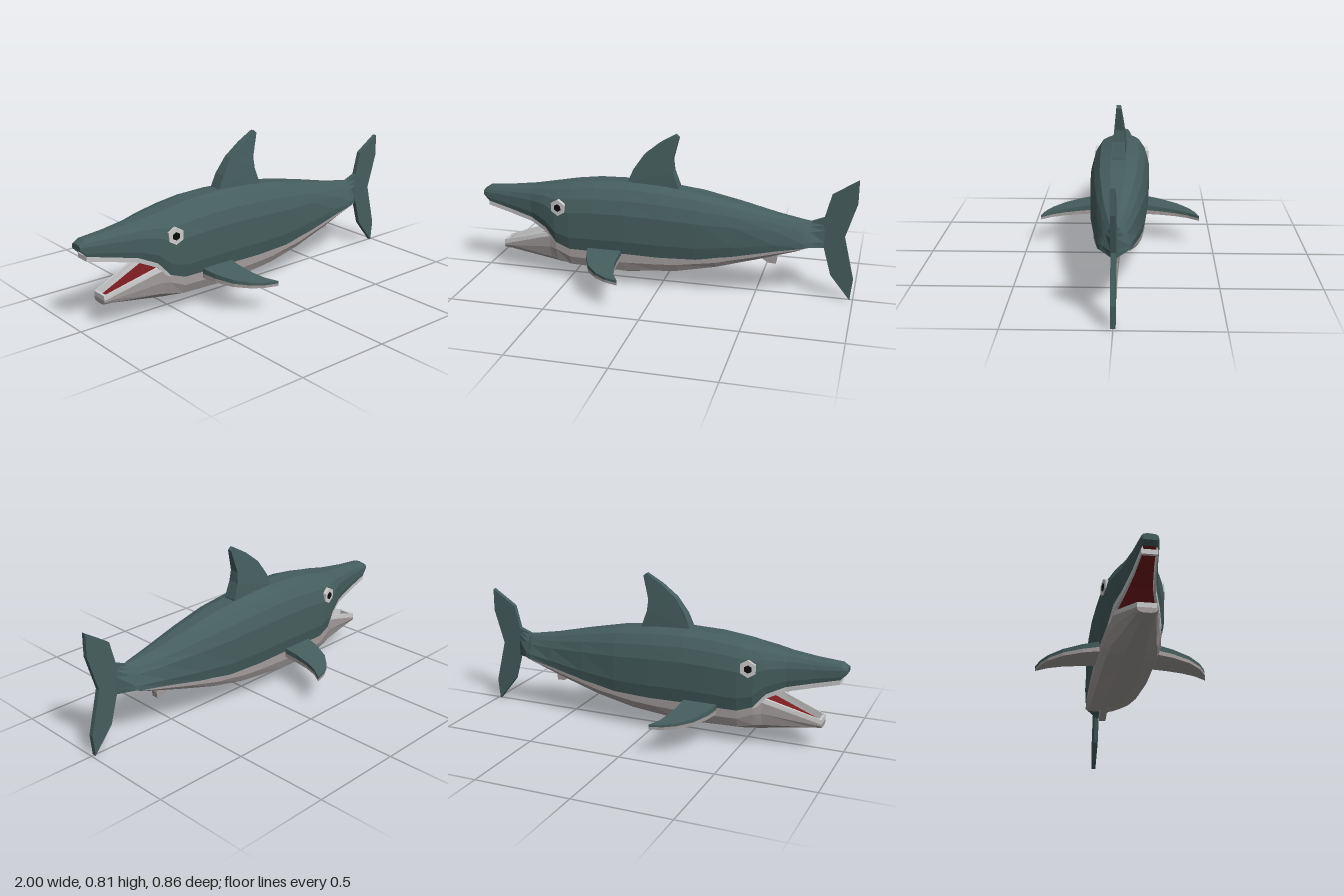
import * as THREE from 'three';

const mat = (color) => new THREE.MeshStandardMaterial({ color, flatShading: true, side: THREE.DoubleSide });
const lerp = THREE.MathUtils.lerp;

// Skin through sections (each a list of [x, y, z]); the first one can be capped
function loft(sections, cap = false) {
  const n = sections[0].length, index = [];
  for (let i = 0; i < sections.length - 1; i++) {
    for (let j = 0; j < n - 1; j++) {
      const a = i * n + j, b = a + 1, c = a + n, d = c + 1;
      index.push(a, c, b, b, c, d);
    }
  }
  if (cap) for (let j = 1; j < n - 1; j++) index.push(0, j, j + 1);
  const g = new THREE.BufferGeometry();
  g.setAttribute('position', new THREE.Float32BufferAttribute(sections.flat(2), 3));
  g.setIndex(index);
  const flat = g.toNonIndexed();
  flat.computeVertexNormals();
  return flat;
}

// Flat outline, one unit thick, reshaped by a rule (x, y, t) => [x, y, z]
function plate(outline, rule) {
  const shape = new THREE.Shape(outline.map(([x, y]) => new THREE.Vector2(x, y)));
  const g = new THREE.ExtrudeGeometry(shape, { depth: 1, bevelEnabled: false });
  const p = g.attributes.position;
  for (let i = 0; i < p.count; i++) p.setXYZ(i, ...rule(p.getX(i), p.getY(i), p.getZ(i)));
  g.computeVertexNormals();
  return g;
}

// Back and snout: x, top, lower edge, half width, pinch towards the top
const BACK = [
  [-1, 0.445, 0.415, 0.036, 0], [-0.97, 0.465, 0.385, 0.043, 0], [-0.84, 0.475, 0.355, 0.06, 0],
  [-0.71, 0.49, 0.325, 0.085, 0], [-0.62, 0.505, 0.285, 0.12, 0], [-0.56, 0.515, 0.215, 0.14, 0],
  [-0.48, 0.53, 0.188, 0.152, 0], [-0.35, 0.547, 0.188, 0.156, 0], [-0.18, 0.552, 0.19, 0.156, 0],
  [0, 0.543, 0.185, 0.15, 0], [0.2, 0.52, 0.19, 0.14, 0], [0.4, 0.48, 0.222, 0.123, 0.1],
  [0.6, 0.435, 0.262, 0.103, 0.3], [0.74, 0.412, 0.285, 0.088, 0.6], [0.77, 0.41, 0.29, 0.075, 0.75],
  [0.84, 0.43, 0.275, 0.012, 0],
];
// Belly and lower jaw: x, upper edge, bottom, half width
const BELLY = [
  [-0.89, 0.143, 0.118, 0.05], [-0.845, 0.158, 0.113, 0.06], [-0.6, 0.238, 0.08, 0.12],
  [-0.56, 0.235, 0.076, 0.138], [-0.48, 0.19, 0.068, 0.151], [-0.35, 0.19, 0.065, 0.156],
  [-0.18, 0.192, 0.058, 0.156], [0, 0.187, 0.08, 0.15], [0.1, 0.19, 0.09, 0.145],
  [0.3, 0.207, 0.135, 0.132], [0.5, 0.243, 0.195, 0.113], [0.7, 0.279, 0.258, 0.09], [0.77, 0.29, 0.286, 0.075],
];
const UPPER = [[0.9, 0], [1, 0.2], [1, 0.6], [0.87, 0.8], [0.66, 0.94], [0.27, 1]];
const LOWER = [[0.35, 1], [0.77, 0.78], [0.9, 0.38], [0.9, 0]];

export function createModel() {
  const model = new THREE.Group();
  const teal = mat(0x465e5e), grey = mat(0xa39d9c), pale = mat(0xd4d2d0), red = mat(0x7a1c22), black = mat(0x0a0a0a);
  const add = (name, geometry, material, parent = model) => {
    const mesh = new THREE.Mesh(geometry, material);
    mesh.name = name;
    parent.add(mesh);
    return mesh;
  };

  // Body shells
  add('back', loft(BACK.map(([x, top, low, w, pinch]) => {
    const half = UPPER.map(([k, t]) => [x, lerp(low, top, t), k * w * (1 - pinch * t)]);
    return [...half, ...half.map(([a, b, c]) => [a, b, -c]).reverse()];
  }), true), teal);
  add('belly', loft(BELLY.map(([x, top, low, w]) => {
    const half = LOWER.map(([k, t]) => [x, lerp(top, low, t), k * w]);
    return [...half.map(([a, b, c]) => [a, b, -c]).reverse(), ...half];
  }), true), grey);
  add('tailRootUnderside', loft([[0.77, 0.29, 0.0675], [0.84, 0.275, 0.011]].map(
    ([x, y, z]) => [[x, y, -z], [x, y - 0.005, 0], [x, y, z]])), teal);

  // Mouth: lining and tooth ridges on both jaws
  const jaws = [
    { name: 'upper', stations: BACK.slice(1, 6), dir: -1 },
    { name: 'lower', stations: BELLY.slice(0, 4).map(([x, top, , w]) => [x, 0, top, w]), dir: 1 },
  ];
  for (const { name, stations, dir } of jaws) {
    add(name + 'MouthLining', loft(stations.map(([x, , y, w]) =>
      [-1, 1].map((s) => [x, y - dir * 0.015, s * 0.72 * w]))), red);
    for (const s of [1, -1]) {
      add(name + 'Teeth', loft(stations.map(([x, , y, w]) => [
        [x, y, s * 0.9 * w], [x, y + dir * 0.024, s * 0.87 * w],
        [x, y + dir * 0.024, s * 0.74 * w], [x, y - dir * 0.015, s * 0.7 * w],
      ]), true), pale);
    }
    const [x, , y, w] = stations[0];
    add(name + 'FrontTeeth', new THREE.BoxGeometry(0.015, 0.024, 1.74 * w), pale)
      .position.set(x + 0.0075, y + dir * 0.012, 0);
  }

  // Dorsal fin, thinner towards the tip
  add('dorsalFin', plate(
    [[-0.19, 0.53], [-0.185, 0.55], [-0.155, 0.62], [-0.1, 0.7], [-0.02, 0.765], [0.065, 0.815], [0.083, 0.8],
      [0.05, 0.68], [0.055, 0.62], [0.083, 0.54], [0.083, 0.51]].reverse(),
    (x, y, t) => [x, y, (2 * t - 1) * lerp(0.035, 0.011, THREE.MathUtils.clamp((y - 0.58) / 0.22, 0, 1))]), teal);

  // Tail fin
  add('tailFin', plate(
    [[0.775, 0.3], [0.84, 0.273], [0.88, 0.13], [0.984, 0], [0.995, 0.11], [0.94, 0.337], [0.995, 0.52],
      [0.995, 0.64], [0.866, 0.556], [0.834, 0.433], [0.775, 0.41]],
    (x, y, t) => [x, y, (2 * t - 1) * 0.012]), teal);

  // Small fin under the tail
  add('analFin', plate(
    [[0.48, 0.23], [0.5, 0.205], [0.56, 0.168], [0.6, 0.165], [0.605, 0.2], [0.59, 0.25]],
    (x, y, t) => [x, y, (2 * t - 1) * 0.018]), grey);

  // Pectoral fins (dark above, light below) and eyes, mirrored across the body
  const finOutline = [[-0.375, 0.1], [-0.195, 0.1], [-0.195, 0.22], [-0.187, 0.3], [-0.167, 0.37], [-0.13, 0.43],
    [-0.2, 0.41], [-0.26, 0.375], [-0.32, 0.31], [-0.36, 0.22], [-0.375, 0.15]];
  const finLayer = (top, bottom) => plate(finOutline, (x, z, t) => {
    const s = (z - 0.15) / 0.28;
    return [x, lerp(lerp(top[0], top[1], s), lerp(bottom[0], bottom[1], s), t), z];
  });
  for (const s of [1, -1]) {
    const side = new THREE.Group();
    side.name = s > 0 ? 'frontSide' : 'rearSide';
    side.scale.z = s;
    model.add(side);
    add('pectoralFinTop', finLayer([0.206, 0.165], [0.178, 0.153]), teal, side);
    add('pectoralFinUnderside', finLayer([0.178, 0.153], [0.156, 0.14]), grey, side);

    const eye = new THREE.Group();
    eye.name = 'eye';
    eye.position.set(-0.535, 0.415, 0.137);
    eye.rotation.y = -0.17;
    side.add(eye);
    add('eyeWhite', new THREE.CylinderGeometry(0.044, 0.044, 0.02, 6).rotateX(Math.PI / 2), pale, eye);
    add('pupil', new THREE.CylinderGeometry(0.021, 0.021, 0.024, 6).rotateX(Math.PI / 2), black, eye);
  }
  return model;
}
